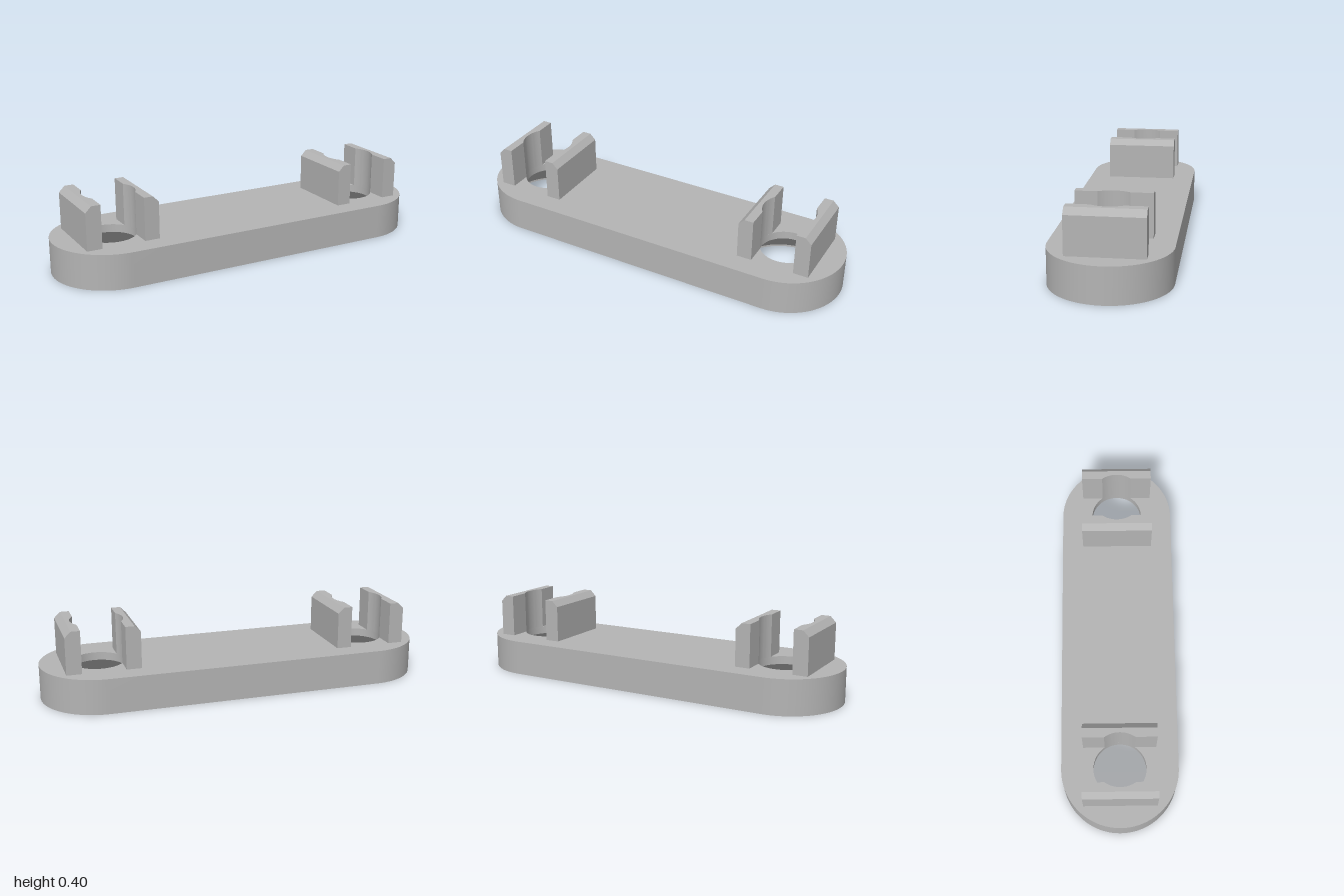
import * as THREE from 'three';
import { toCreasedNormals } from 'three/addons/utils/BufferGeometryUtils.js';

const HEIGHT = 0.178;       // plate thickness
const END_R = 0.294;        // plate end radius
const HOLE_X = 0.706;       // hole centres at +-x
const HOLE_R = 0.133;
const SINK_R = 0.26;        // countersink radius underneath
const CREASE = 0.45;

// Joins closed rings of [x, y, z] points, optionally with fan caps on both ends.
function loft(rings, capped) {
  const n = rings[0].length;
  const index = [];
  for (let r = 0; r < rings.length - 1; r++) {
    for (let i = 0; i < n; i++) {
      const a = r * n + i, b = r * n + (i + 1) % n;
      index.push(a, b, b + n, a, b + n, a + n);
    }
  }
  if (capped) {
    const last = (rings.length - 1) * n;
    for (let i = 1; i < n - 1; i++) {
      index.push(0, i + 1, i, last, last + i, last + i + 1);
    }
  }
  const geo = new THREE.BufferGeometry();
  geo.setAttribute('position', new THREE.Float32BufferAttribute(rings.flat(2), 3));
  geo.setIndex(index);
  return toCreasedNormals(geo, CREASE);
}

// Stadium outline with two round holes.
function plateShape(holeRadius) {
  const shape = new THREE.Shape();
  shape.absarc(HOLE_X, 0, END_R, -Math.PI / 2, Math.PI / 2, false);
  shape.absarc(-HOLE_X, 0, END_R, Math.PI / 2, Math.PI * 1.5, false);
  shape.closePath();
  for (const x of [-HOLE_X, HOLE_X]) {
    shape.holes.push(new THREE.Path().absarc(x, 0, holeRadius, 0, Math.PI * 2, true));
  }
  return shape;
}

// Clip wall beside a hole: chamfered outside, scooped inside by the hole.
function clipWallGeometry() {
  const inner = 0.109, outer = 0.185, chamfer = 0.03, top = 0.395, halfDepth = 0.184;
  const arc = Math.acos(inner / HOLE_R);
  const stations = [[inner, -halfDepth]];
  for (let i = 0; i <= 16; i++) {
    const t = -arc + 2 * arc * i / 16;
    stations.push([HOLE_R * Math.cos(t), HOLE_R * Math.sin(t)]);
  }
  stations.push([inner, halfDepth]);
  return loft(stations.map(([x, z]) => [
    [x, HEIGHT, z], [outer, HEIGHT, z], [outer, top - chamfer, z],
    [outer - chamfer, top, z], [x, top, z],
  ]), true);
}

export function createModel() {
  const model = new THREE.Group();
  model.name = 'clipPlate';
  const grey = new THREE.MeshStandardMaterial({ color: 0xb4b4b4 });
  grey.name = 'grey';

  const add = (name, geo, parent = model) => {
    const mesh = new THREE.Mesh(geo, grey);
    mesh.name = name;
    parent.add(mesh);
    return mesh;
  };

  // Plate: rim, top face and underside
  const outline = plateShape(HOLE_R).getPoints(32);
  if (outline[0].distanceTo(outline[outline.length - 1]) < 1e-6) outline.pop();
  add('plateRim', loft([0, HEIGHT].map((y) => outline.map((p) => [p.x, y, -p.y])), false));
  add('plateTop', new THREE.ShapeGeometry(plateShape(HOLE_R), 32).rotateX(-Math.PI / 2))
    .position.y = HEIGHT;
  add('plateUnderside', new THREE.ShapeGeometry(plateShape(SINK_R), 32).rotateX(Math.PI / 2));

  // Countersunk bore, listed from the top down so that it faces inwards
  const bore = toCreasedNormals(new THREE.LatheGeometry([
    new THREE.Vector2(HOLE_R, HEIGHT),
    new THREE.Vector2(HOLE_R, 0.137),
    new THREE.Vector2(SINK_R, 0.01),
    new THREE.Vector2(SINK_R, 0),
  ], 64), CREASE);
  const wall = clipWallGeometry();

  // Each end has a bore and a facing pair of clip walls
  for (const side of [-1, 1]) {
    const end = new THREE.Group();
    end.name = side > 0 ? 'leftEnd' : 'rightEnd';
    end.position.x = side * HOLE_X;
    add('countersunkHole', bore, end);
    add('outerClipWall', wall, end).rotation.y = side > 0 ? 0 : Math.PI;
    add('innerClipWall', wall, end).rotation.y = side > 0 ? Math.PI : 0;
    model.add(end);
  }
  return model;
}
